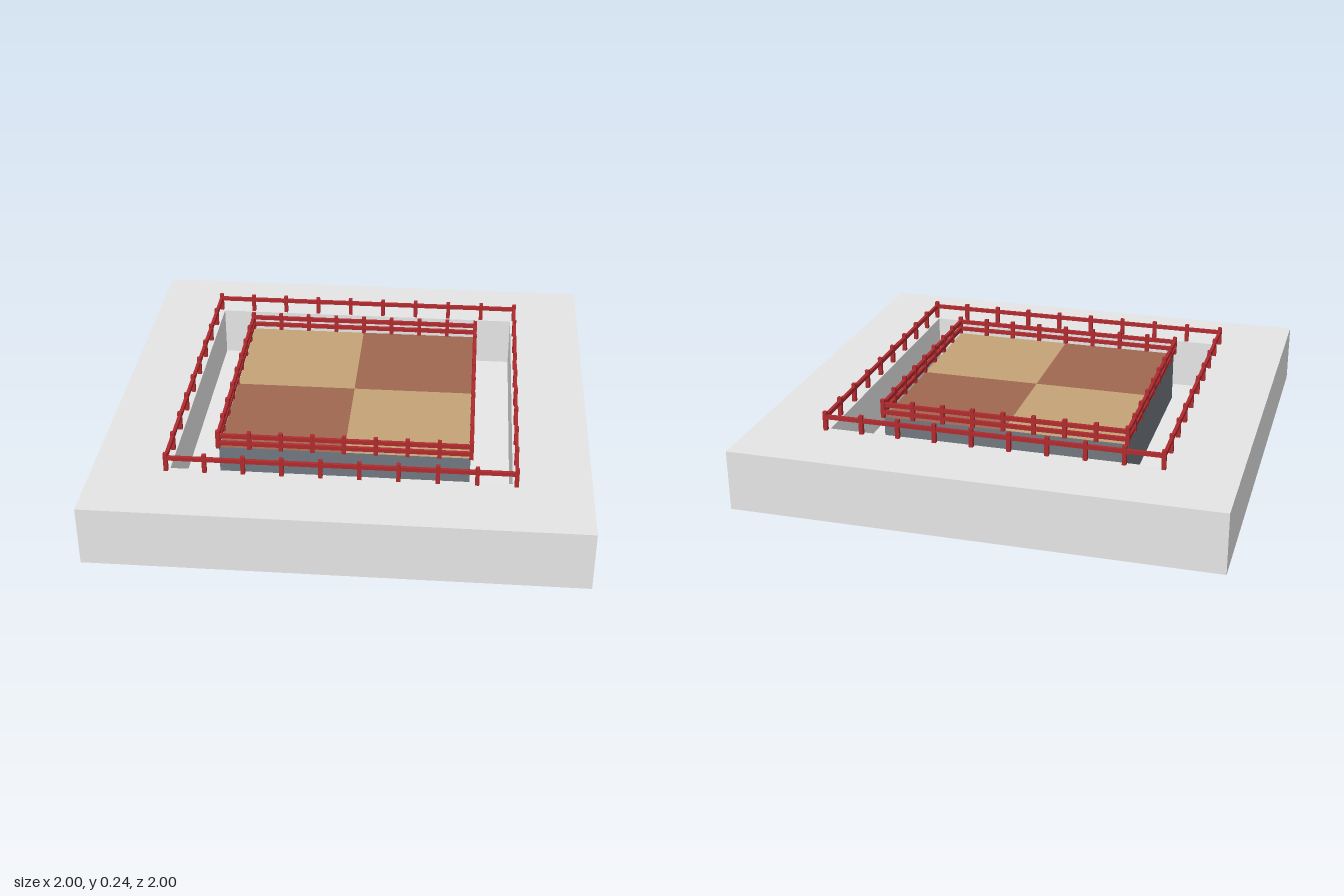
import * as THREE from 'three';
import { toCreasedNormals } from 'three/addons/utils/BufferGeometryUtils.js';

const mat = (name, color, side = THREE.FrontSide) =>
  Object.assign(new THREE.MeshStandardMaterial({ color, side }), { name });

export function createModel() {
  const model = new THREE.Group();
  const concrete = mat('concrete grey', 0xe5e5e5, THREE.DoubleSide);
  const floorWhite = mat('white floor', 0xffffff);
  const slate = mat('slate', 0x70777f);
  const tan = mat('tan', 0xc3a277);
  const brown = mat('brown', 0x9f6750);
  const red = mat('red', 0xb02a2e);

  const TOP = 0.18, PIT = 0.021, PIT_R = 0.685, STAGE_R = 0.516;

  const add = (name, geometry, material, parent = model) => {
    const mesh = new THREE.Mesh(geometry, material);
    mesh.name = name;
    parent.add(mesh);
    return mesh;
  };

  // Four upright walls of a diamond plan, open above and below
  const walls = (r, y0, y1) => toCreasedNormals(
    new THREE.CylinderGeometry(r, r, y1 - y0, 4, 1, true).translate(0, (y0 + y1) / 2, 0), 0.3);

  // Flat diamond facing up, with an optional diamond hole
  const corners = (r) => [[r, 0], [0, r], [-r, 0], [0, -r]].map(([x, y]) => new THREE.Vector2(x, y));
  const diamond = (r, y, hole = 0, x = 0, z = 0) => {
    const shape = new THREE.Shape(corners(r));
    if (hole) shape.holes.push(new THREE.Path(corners(hole)));
    return new THREE.ShapeGeometry(shape).rotateX(-Math.PI / 2).translate(x, y, z);
  };

  // Hollow base with a sunken pit
  add('baseWalls', walls(1, 0, TOP), concrete);
  add('baseTop', diamond(1, TOP, PIT_R), concrete);
  add('pitWalls', walls(PIT_R, PIT, TOP), concrete);
  add('pitUnderside', diamond(PIT_R, PIT), concrete);
  add('pitFloor', diamond(PIT_R, PIT + 0.003), floorWhite);

  // Raised stage with four checkered tiles
  add('stageWalls', walls(STAGE_R, PIT, TOP), slate);
  const q = STAGE_R / 2;
  for (const s of [-1, 1]) {
    add('tanTile', diamond(q, TOP, 0, 0, s * q), tan);
    add('brownTile', diamond(q, TOP, 0, s * q, 0), brown);
  }

  // Post and rail fence around a diamond
  const fence = (name, r, gaps, rails) => {
    const group = new THREE.Group();
    group.name = name;
    const t = 0.012, y1 = 0.237, half = r / Math.SQRT2;
    const postShape = new THREE.BoxGeometry(t, y1 - TOP, t);
    const railShape = new THREE.BoxGeometry(2 * half, t, t * 0.8);
    for (let side = 0; side < 4; side++) {
      const arm = new THREE.Group();
      arm.name = 'fenceSide';
      arm.rotation.y = Math.PI / 4 + side * Math.PI / 2;
      for (let i = 0; i < gaps; i++)
        add('post', postShape, red, arm).position.set(-half + (2 * half * i) / gaps, (TOP + y1) / 2, half);
      for (const y of rails) add('rail', railShape, red, arm).position.set(0, y, half);
      group.add(arm);
    }
    model.add(group);
  };
  fence('outerFence', 0.7, 9, [0.221]);
  fence('innerFence', 0.519, 8, [0.197, 0.221]);

  return model;
}
